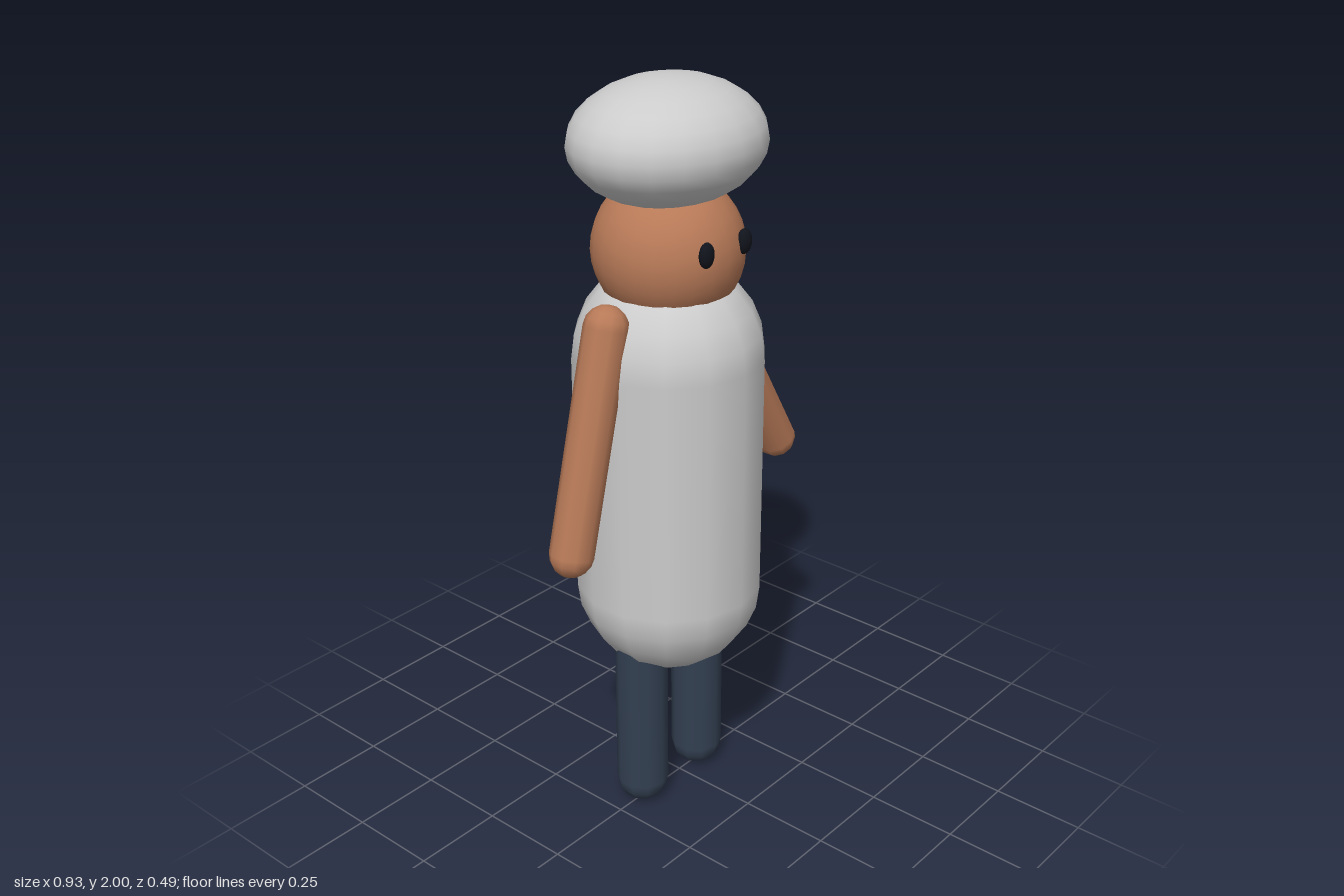
import * as THREE from 'three';

const mat = (color) => new THREE.MeshStandardMaterial({ color });

export function createModel() {
  const model = new THREE.Group();
  const white = mat(0xeeeef0), skin = mat(0xb87a58), navy = mat(0x334052), black = mat(0x11141c);
  const cx = -0.042; // body axis

  // Capsule whose end-cap centres are the points a and b (in the xy plane)
  const capsule = (name, a, b, r, capSegs, sides, material) => {
    const from = new THREE.Vector3(a[0], a[1], 0), to = new THREE.Vector3(b[0], b[1], 0);
    const geo = new THREE.CapsuleGeometry(r, from.distanceTo(to), capSegs, sides);
    geo.rotateY(Math.PI / 2); // puts a ridge on the front and back
    const mesh = new THREE.Mesh(geo, material);
    mesh.name = name;
    mesh.position.copy(from).lerp(to, 0.5);
    mesh.quaternion.setFromUnitVectors(new THREE.Vector3(0, 1, 0), to.sub(from).normalize());
    model.add(mesh);
  };

  // Sphere stretched to the given half sizes
  const ellipsoid = (name, pos, half, w, h, material) => {
    const mesh = new THREE.Mesh(new THREE.SphereGeometry(1, w, h), material);
    mesh.name = name;
    mesh.position.set(...pos);
    mesh.scale.set(...half);
    model.add(mesh);
  };

  // Body and head
  capsule('torso', [cx, 0.655], [cx, 1.3], 0.247, 6, 14, white);
  ellipsoid('head', [cx, 1.577, 0], [0.192, 0.192, 0.192], 24, 18, skin);
  ellipsoid('hat', [cx, 1.845, 0], [0.265, 0.155, 0.229], 20, 14, white);

  // Eyes and legs, mirrored about the body axis
  for (const [side, s] of [['left', 1], ['right', -1]]) {
    ellipsoid(side + 'Eye', [cx + s * 0.071, 1.612, 0.18], [0.023, 0.032, 0.016], 12, 10, black);
    const x = cx + s * 0.115;
    capsule(side + 'Leg', [x, 0.071], [x, 0.52], 0.071, 4, 10, navy);
  }

  // Arms: the right hangs beside the body, the left swings outward
  capsule('rightArm', [-0.411, 0.872], [-0.27, 1.432], 0.057, 4, 10, skin);
  capsule('leftArm', [0.411, 0.906], [0.113, 1.403], 0.057, 4, 10, skin);

  return model;
}
